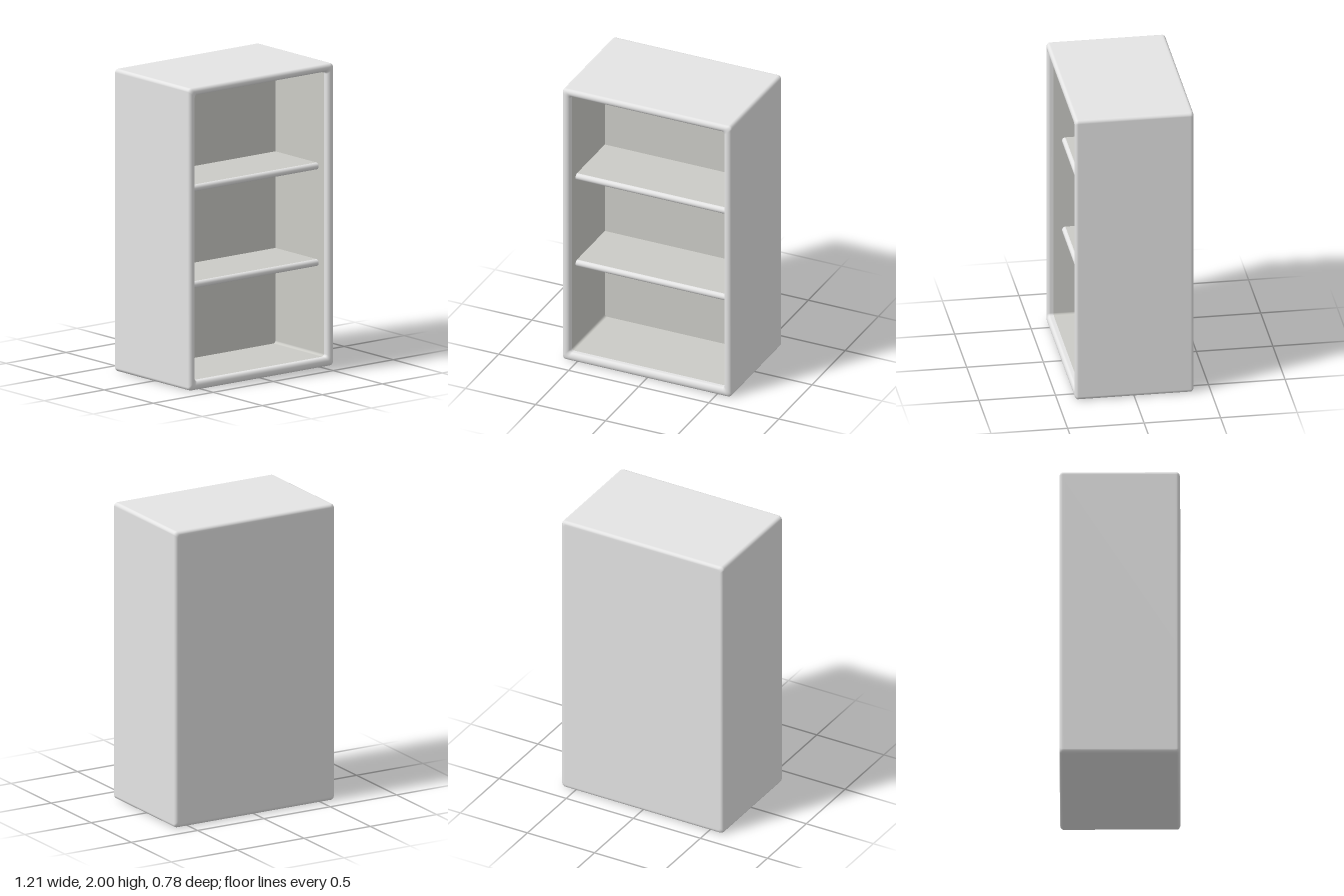
import * as THREE from 'three';

// Outer rectangle and inner opening of the bookcase
const OUTER = { x: 0.603, y0: 0, y1: 2, r: 0.024 };
const INNER = { x: 0.55, y0: 0.06, y1: 1.95, r: 0.018 };
const FRONT = 0.388, BACK = -0.39, IN_BACK = -0.15, LINING_FRONT = 0.345;
const RIM = OUTER.x - INNER.x;
const CORNER_STEPS = 5;

// Rounded rectangle at depth z; t = 0 is the outer outline, t = 1 the opening
function loop(t, z) {
  const mix = (key) => THREE.MathUtils.lerp(OUTER[key], INNER[key], t);
  const x = mix('x'), y0 = mix('y0'), y1 = mix('y1');
  const r = t > 1 ? 0 : mix('r');
  const corners = [[x - r, y1 - r], [r - x, y1 - r], [r - x, y0 + r], [x - r, y0 + r]];
  const points = [];
  corners.forEach(([cx, cy], k) => {
    for (let i = 0; i <= CORNER_STEPS; i++) {
      const a = (k + i / CORNER_STEPS) * Math.PI / 2;
      points.push([cx + r * Math.cos(a), cy + r * Math.sin(a), z]);
    }
  });
  return points;
}

// Smooth skin through a row of closed loops
function skin(loops) {
  const n = loops[0].length;
  const index = [];
  for (let j = 0; j < loops.length - 1; j++) {
    for (let i = 0; i < n; i++) {
      const a = j * n + i, b = j * n + (i + 1) % n;
      index.push(a, b, b + n, a, b + n, a + n);
    }
  }
  const geometry = new THREE.BufferGeometry();
  geometry.setAttribute('position', new THREE.Float32BufferAttribute(loops.flat(2), 3));
  geometry.setIndex(index);
  geometry.computeVertexNormals();
  return geometry;
}

export function createModel() {
  const group = new THREE.Group();
  group.name = 'bookcase';

  const shell = new THREE.MeshStandardMaterial({ color: 0xe4e4e4 });
  shell.name = 'light grey shell';
  const inside = new THREE.MeshStandardMaterial({ color: 0xcbcbc6 });
  inside.name = 'warm grey interior';

  const add = (name, geometry, material, x = 0, y = 0, z = 0) => {
    const mesh = new THREE.Mesh(geometry, material);
    mesh.name = name;
    mesh.position.set(x, y, z);
    group.add(mesh);
  };

  // Outer shell: back, rounded back edge, sides, rounded front lip, start of the opening
  const backR = 0.022, lipR = 0.022, steps = 8;
  const loops = [loop(OUTER.x / RIM - 0.01, BACK), loop((backR + 0.01) / RIM, BACK)];
  for (let i = 0; i <= steps; i++) {
    const a = (i / steps) * Math.PI / 2;
    loops.push(loop(backR * (1 - Math.sin(a)) / RIM, BACK + backR * (1 - Math.cos(a))));
  }
  loops.push(loop(0, BACK + backR + 0.01), loop(0, FRONT - lipR - 0.01));
  for (let i = 0; i <= 2 * steps; i++) {
    const a = (i / (2 * steps)) * Math.PI;
    loops.push(loop((1 - Math.cos(a)) / 2, FRONT - lipR + lipR * Math.sin(a)));
  }
  loops.push(loop(1, LINING_FRONT));
  add('shell', skin(loops), shell);

  // Inner walls and back panel of the compartment
  add('innerWalls', skin([loop(1, LINING_FRONT), loop(1, IN_BACK)]), inside);
  add('backPanel', new THREE.PlaneGeometry(2 * INNER.x, INNER.y1 - INNER.y0), inside,
    0, (INNER.y0 + INNER.y1) / 2, IN_BACK);

  // Two recessed shelves with rounded noses
  const thick = 0.045, noseZ = 0.268;
  for (const [name, y] of [['lowerShelf', 0.668], ['upperShelf', 1.307]]) {
    add(name, new THREE.BoxGeometry(2 * INNER.x, thick, noseZ - IN_BACK), inside,
      0, y, (noseZ + IN_BACK) / 2);
    const nose = new THREE.CylinderGeometry(thick / 2, thick / 2, 2 * INNER.x, 12, 1, true,
      -Math.PI / 2, Math.PI);
    nose.rotateZ(Math.PI / 2);
    add(name + 'Nose', nose, shell, 0, y, noseZ);
  }

  return group;
}
